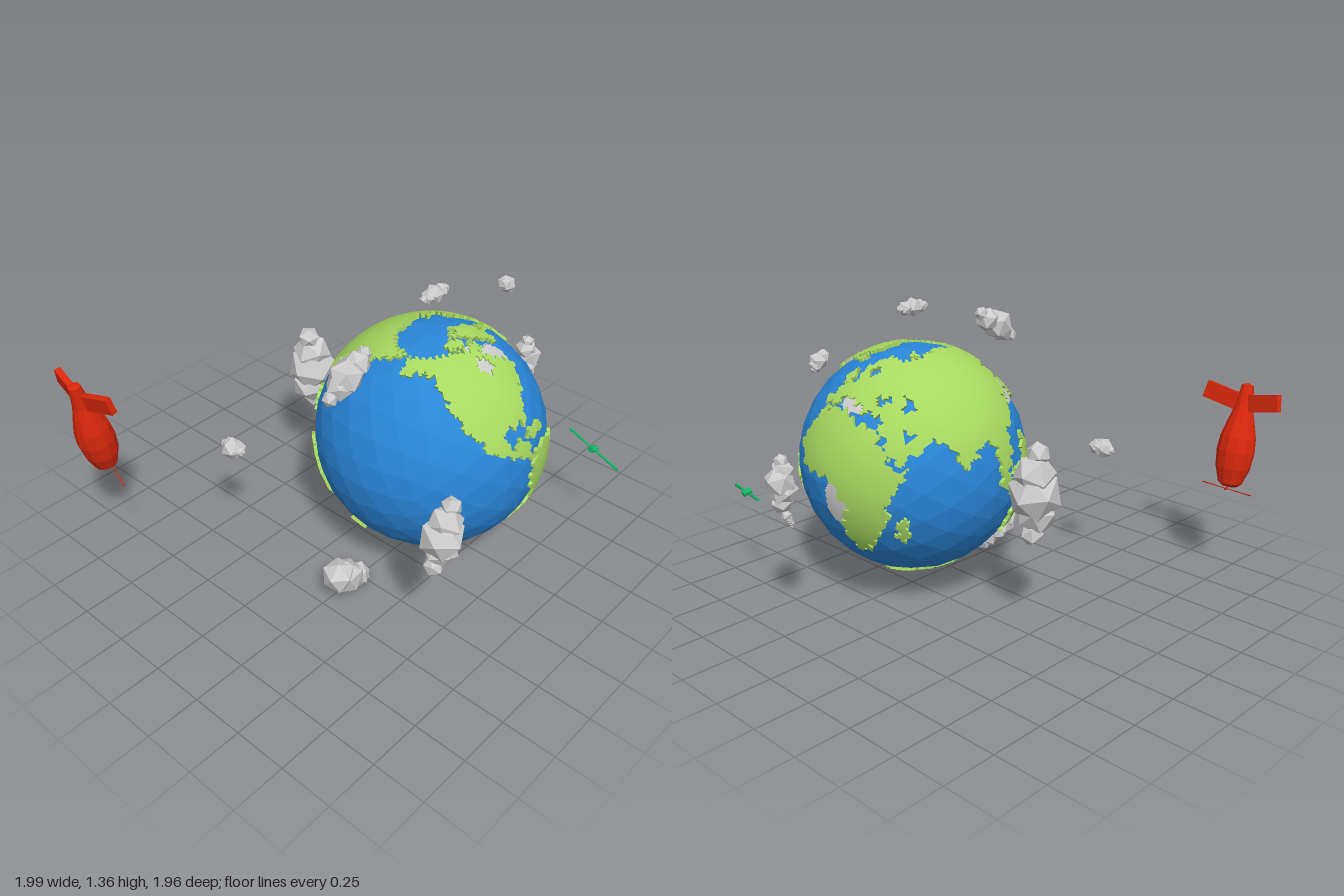
import * as THREE from 'three';

const CENTRE = [0.19, 0.635, 0.287];
const material = (color) => new THREE.MeshStandardMaterial({ color, flatShading: true });
const GREY = material(0xcccccc), LAND = material(0xa8d860), OCEAN = material(0x2a86d8);
const RED = material(0xd8280c), GREEN = material(0x12b768);

// Rough coast outlines: longitude, latitude pairs
const northAmerica = [-168, 66, -125, 70, -82, 69, -75, 62, -56, 52, -70, 42, -81, 31, -80, 25, -83, 29, -97, 28,
  -96, 18, -87, 21, -79, 8, -95, 15, -106, 20, -124, 40, -135, 58, -150, 60, -163, 56];
const southAmerica = [-78, 8, -72, 12, -51, 4, -35, -6, -41, -21, -58, -38, -68, -55, -74, -50, -70, -18, -81, -5];
const africa = [-6, 35, 10, 37, 20, 31, 32, 31, 43, 12, 51, 11, 40, -4, 40, -15, 26, -34, 19, -34, 14, -20,
  20, -8, 9, 4, -8, 5, -17, 16];
const eurasia = [-9, 37, -9, 43, -2, 44, -4, 48, 9, 54, 5, 60, 14, 68, 26, 71, 45, 68, 104, 77, 140, 72, 190, 67,
  163, 59, 158, 52, 156, 59, 136, 54, 141, 50, 128, 41, 126, 35, 121, 38, 122, 31, 108, 21, 108, 12, 103, 2, 98, 9,
  97, 16, 90, 22, 78, 8, 72, 20, 66, 25, 59, 22, 44, 13, 35, 29, 35, 36, 27, 37, 23, 37, 19, 42, 18, 40, 8, 44, 0, 38];
const australia = [114, -23, 130, -12, 138, -16, 142, -11, 153, -26, 148, -38, 131, -31, 115, -34];
const greenland = [-73, 78, -40, 83, -20, 75, -42, 60, -55, 70];
const coasts = [northAmerica, southAmerica, africa, eurasia, australia, greenland];

// Ellipses: longitude, latitude, half width, half height
const islands = [[-75, 21, 8, 2], [-3, 54, 4, 4], [-19, 65, 4, 2], [139, 38, 3, 5], [102, 0, 3, 5], [114, 0, 5, 5],
  [110, -7, 5, 2], [123, 9, 3, 8], [141, -5, 8, 4], [174, -41, 4, 4], [47, -19, 3, 6], [-100, 75, 18, 3],
  [-75, 69, 9, 3], [-80, 81, 14, 2], [58, 74, 5, 3]];
const inlandSeas = [[-86, 59, 8, 5], [18, 59, 4, 5], [35, 43, 6, 2], [51, 42, 3, 4], [51, 27, 4, 2]];
const paleShallows = [[-80, 62, 16, 10], [-62, 59, 10, 7], [14, -8, 8, 11], [17, 41, 12, 5], [130, 39, 9, 7]];

const inEllipse = (lon, lat) => ([x, y, a, b]) => ((lon - x) / a) ** 2 + ((lat - y) / b) ** 2 < 1;

const inCoast = (lon, lat) => (p) => {
  let inside = false;
  for (let i = 0, j = p.length - 2; i < p.length; j = i, i += 2) {
    if ((p[i + 1] > lat) !== (p[j + 1] > lat)
      && lon < (p[j] - p[i]) * (lat - p[i + 1]) / (p[j + 1] - p[i + 1]) + p[i]) inside = !inside;
  }
  return inside;
};

function isLand(lon, lat) {
  // waves make the coastline ragged
  const u = lon + 1.5 * Math.sin(lat * 0.9 + lon * 0.35), v = lat + 1.4 * Math.sin(lon * 0.8 - lat * 0.3);
  const polar = v < -71 + 3 * Math.sin(lon * 0.07);
  const dry = coasts.some(inCoast(u, v)) && !inlandSeas.some(inEllipse(u, v));
  return polar || dry || islands.some(inEllipse(u, v));
}

const isShallow = (lon, lat) => paleShallows.some(inEllipse(lon, lat));

function add(parent, name, geo, mat, pos = [0, 0, 0], rot = [0, 0, 0]) {
  const mesh = new THREE.Mesh(geo, mat);
  mesh.name = name;
  mesh.position.set(...pos);
  mesh.rotation.set(...rot);
  parent.add(mesh);
}

// Raised plates on the sphere: every facet that passes the test, plus walls around the edge
function plateGeometry(test, top, bottom) {
  const src = new THREE.IcosahedronGeometry(1, 40).attributes.position;
  const out = [], edges = new Map();
  const key = (v) => v.toArray().map((n) => Math.round(n * 5000)).join();
  const push = (v, r) => out.push(v.x * r, v.y * r, v.z * r);
  for (let i = 0; i < src.count; i += 3) {
    const tri = [0, 1, 2].map((k) => new THREE.Vector3().fromBufferAttribute(src, i + k));
    const c = tri[0].clone().add(tri[1]).add(tri[2]).normalize();
    let lon = THREE.MathUtils.radToDeg(Math.atan2(c.x, c.z)) - 85;
    if (lon < -170) lon += 360;
    if (!test(lon, THREE.MathUtils.radToDeg(Math.asin(c.y)))) continue;
    tri.forEach((v, k) => {
      push(v, top);
      const w = tri[(k + 1) % 3];
      edges.set(key(v) + '|' + key(w), [v, w, key(w) + '|' + key(v)]);
    });
  }
  for (const [a, b, reverse] of edges.values()) {
    if (edges.has(reverse)) continue;
    push(a, top); push(a, bottom); push(b, bottom);
    push(a, top); push(b, bottom); push(b, top);
  }
  const geo = new THREE.BufferGeometry();
  geo.setAttribute('position', new THREE.Float32BufferAttribute(out, 3));
  geo.computeVertexNormals();
  return geo;
}

// Cloud: faceted puffs from one end to the other, largest at the peak (0 to 1)
function cloud(start, end, radius, peak, turn) {
  const g = new THREE.Group();
  g.name = 'cloud';
  const a = new THREE.Vector3(...start), b = new THREE.Vector3(...end);
  for (let k = 0; k < 5; k++) {
    const t = k / 4, r = radius * (1 - 0.55 * (Math.abs(t - peak) / Math.max(peak, 1 - peak)) ** 1.3);
    const pos = a.clone().lerp(b, t);
    pos.x += Math.sin(k * 2.4 + turn) * radius * 0.12;
    add(g, 'cloudPuff', new THREE.IcosahedronGeometry(r, 0), GREY, pos.toArray(), [turn + k * 1.3, k * 2.1, turn * 0.7 + k]);
  }
  return g;
}

// Two tapered blades on a hub
function propeller(name, pos, mat, thickness, hub) {
  const g = new THREE.Group();
  g.name = name;
  for (const s of [-1, 1]) {
    const blade = new THREE.CylinderGeometry(thickness * 0.8, thickness * 0.45, 0.165, 6);
    add(g, 'propellerBlade', blade, mat, [0, s * 0.0825, 0], [s > 0 ? 0 : Math.PI, 0, 0]);
  }
  add(g, 'propellerHub', new THREE.CylinderGeometry(hub, hub, hub * 2.6, 8), mat, [0, 0, 0], [0, 0, Math.PI / 2]);
  g.position.set(...pos);
  g.quaternion.setFromUnitVectors(new THREE.Vector3(0, 1, 0), new THREE.Vector3(0.09, 0.033, -0.31).normalize());
  return g;
}

// Diving aircraft: turned fuselage with two tail wings
function aircraft() {
  const g = new THREE.Group();
  g.name = 'aircraft';
  const profile = [[0, -0.24], [0.035, -0.24], [0.055, -0.225], [0.08, -0.15], [0.088, -0.07], [0.082, 0],
    [0.06, 0.08], [0.042, 0.14], [0.028, 0.245], [0, 0.255]];
  add(g, 'fuselage', new THREE.LatheGeometry(profile.map(([r, y]) => new THREE.Vector2(r, y)), 12), RED);
  for (const s of [-1, 1]) {
    add(g, 'tailWing', new THREE.BoxGeometry(0.03, 0.08, 0.2), RED, [0.02, 0.175, s * 0.095], [-s * 0.2, s * 0.18, 0]);
  }
  g.position.set(-0.9, 0.712, -0.782);
  g.rotation.z = 0.21;
  return g;
}

export function createModel() {
  const model = new THREE.Group();
  model.name = 'globeWithAircraft';
  add(model, 'ocean', new THREE.IcosahedronGeometry(0.53, 4), OCEAN, CENTRE);
  add(model, 'continents', plateGeometry(isLand, 0.542, 0.515), LAND, CENTRE);
  add(model, 'shallowSeabeds', plateGeometry(isShallow, 0.534, 0.515), GREY, CENTRE);

  // Clouds around the globe, the fifth a trail of crumbs
  model.add(
    cloud([-0.45, 1.11, 0.27], [-0.26, 1.24, 0.28], 0.078, 0.5, 0),
    cloud([0.11, 1.335, 0.28], [0.26, 1.335, 0.28], 0.045, 0.5, 1),
    cloud([0.68, 1.21, 0.29], [0.74, 1.15, 0.29], 0.042, 0.5, 2),
    cloud([0.94, 0.61, 0.29], [0.925, 0.785, 0.3], 0.075, 0.4, 3),
    cloud([0.92, 0.54, 0.295], [0.89, 0.485, 0.295], 0.024, 0, 4),
    cloud([-0.39, 0.51, 0.79], [-0.33, 0.77, 0.8], 0.102, 0.5, 5),
    cloud([-0.51, 0.635, -0.23], [-0.51, 0.63, -0.33], 0.052, 0.5, 6),
    cloud([-0.43, 0.15, 0.28], [-0.265, 0.05, 0.28], 0.088, 0.2, 7),
    cloud([0.2, 0.47, -0.48], [0.2, 0.82, -0.48], 0.122, 0.5, 8),
  );

  model.add(aircraft());
  model.add(propeller('aircraftPropeller', [-0.835, 0.467, -0.777], RED, 0.004, 0.006));
  model.add(propeller('loosePropeller', [0.77, 0.468, 0.817], GREEN, 0.01, 0.016));
  return model;
}
